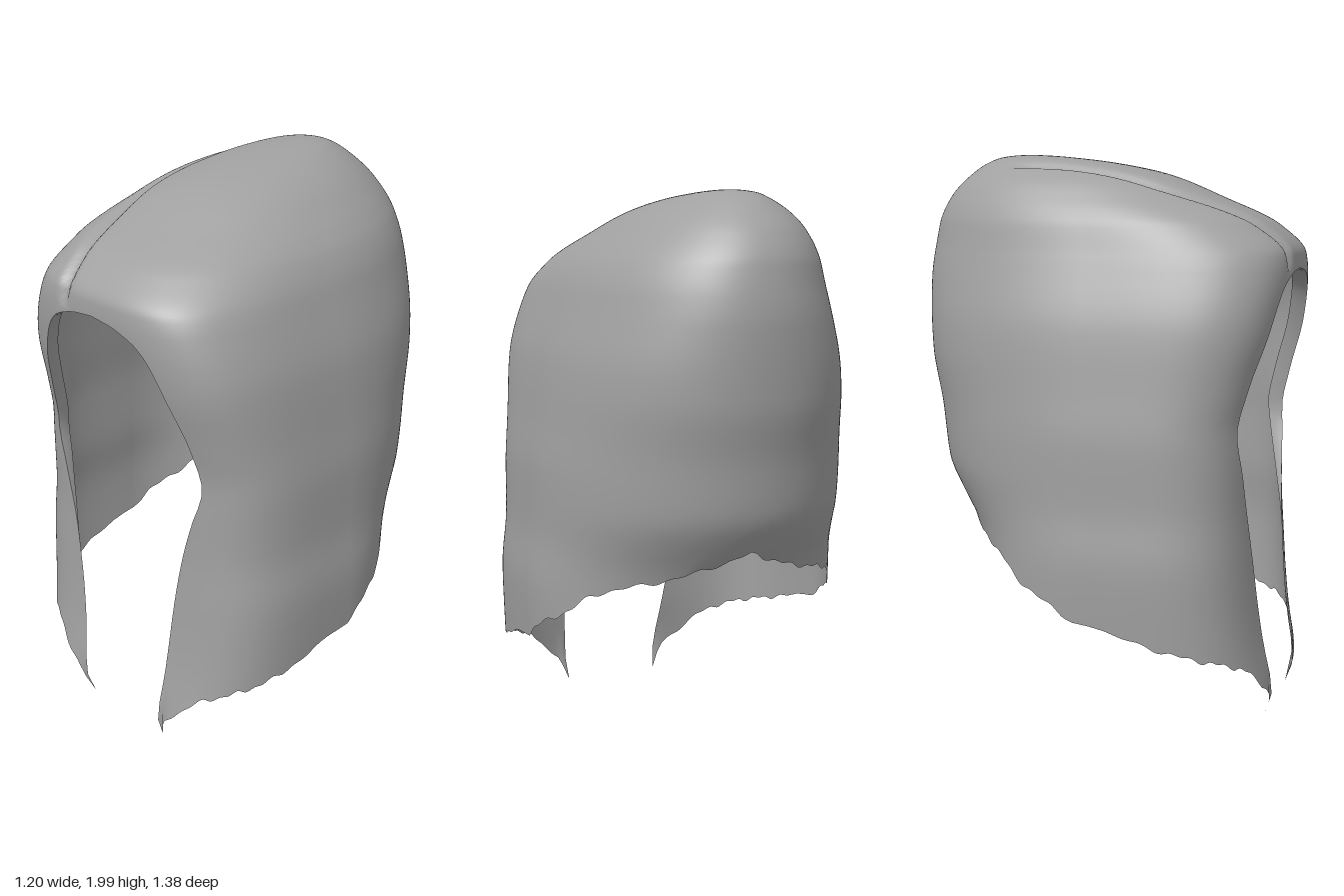
import * as THREE from 'three';
import { mergeVertices } from 'three/addons/utils/BufferGeometryUtils.js';

// Smooth monotone curve through [key, value] pairs
function curve(p) {
  const slope = i => (p[i + 1][1] - p[i][1]) / (p[i + 1][0] - p[i][0]);
  const tangent = i => {
    if (i === 0) return slope(0);
    if (i === p.length - 1) return slope(i - 1);
    const a = slope(i - 1), b = slope(i);
    return a * b <= 0 ? 0 : 2 * a * b / (a + b);
  };
  return k => {
    k = Math.min(Math.max(k, p[0][0]), p[p.length - 1][0]);
    let i = 0;
    while (i < p.length - 2 && k > p[i + 1][0]) i++;
    const d = p[i + 1][0] - p[i][0], t = (k - p[i][0]) / d, t2 = t * t, t3 = t2 * t;
    return (2 * t3 - 3 * t2 + 1) * p[i][1] + (t3 - 2 * t2 + t) * d * tangent(i)
      + (3 * t2 - 2 * t3) * p[i + 1][1] + (t3 - t2) * d * tangent(i + 1);
  };
}

// Horizontal sections by level h: height up to 1.6, then an arc over the crown to TOP
const TOP = 1.6 + 0.2 * Math.PI;
const halfWidth = curve([[0, 0.56], [0.35, 0.59], [0.6, 0.6], [0.8, 0.582], [1, 0.58], [1.2, 0.56],
  [1.4, 0.535], [1.6, 0.478], [1.754, 0.42], [1.809, 0.385], [1.87, 0.338], [1.939, 0.285], [1.99, 0.24],
  [2.078, 0.155], [2.14, 0.095], [TOP, 0]]);
const frontZ = curve([[0, 0.62], [0.1, 0.65], [0.3, 0.62], [0.5, 0.6], [0.8, 0.585], [1.05, 0.585],
  [1.2, 0.615], [1.4, 0.665], [1.6, 0.688], [1.65, 0.685], [1.754, 0.6], [1.87, 0.4], [1.99, 0.2],
  [2.078, 0], [2.14, -0.15], [TOP, -0.32]]);
const backZ = curve([[0, -0.48], [0.6, -0.48], [0.7, -0.51], [0.78, -0.56], [0.9, -0.62], [1.1, -0.645],
  [1.3, -0.68], [1.55, -0.69], [1.754, -0.66], [1.87, -0.61], [1.99, -0.53], [2.078, -0.47], [2.14, -0.42],
  [TOP, -0.32]]);
const middleZ = curve([[0, 0.05], [1.5, 0.05], [1.754, 0], [1.87, -0.08], [1.99, -0.15], [2.078, -0.22],
  [2.14, -0.3], [TOP, -0.32]]);
const frontSquareness = curve([[0, 4], [1.4, 4], [1.6, 3.6], [1.754, 2.8], [1.99, 2.3], [TOP, 2]]);
const backSquareness = curve([[0, 1.9], [1, 2], [1.4, 2.15], [1.7, 2.1], [TOP, 2]]);
// Half width of the face opening by height
const opening = curve([[0, 0.19], [0.2, 0.21], [0.5, 0.245], [0.7, 0.28], [0.9, 0.335], [1.05, 0.38],
  [1.2, 0.36], [1.3, 0.335], [1.4, 0.3], [1.5, 0.25], [1.55, 0.2], [1.58, 0.13], [1.59, 0.09], [1.6, 0]]);
// Hem height by angle from the front
const hemHeight = curve([[0.15, 0.01], [0.19, 0.09], [0.27, 0.14], [0.48, 0.23], [0.8, 0.28], [1.1, 0.31],
  [1.45, 0.36], [1.67, 0.44], [2.04, 0.54], [2.23, 0.61], [2.75, 0.69], [3.1416, 0.77]]);
const partingX = curve([[-0.35, -0.2], [0, -0.23], [0.2, -0.24], [0.45, -0.2], [0.67, -0.15]]);

// Point on the shell; u runs from the front (0) to the back (1)
function shellPoint(h, u, side) {
  const w = halfWidth(h), zm = middleZ(h), p = frontSquareness(h);
  const edge = h < 1.6 ? opening(h) + side * 0.03 * Math.max(0, 1 - h / 0.8) : 0;
  const start = edge > 0 ? Math.asin(Math.pow(edge / w, p / 2)) : 0;
  const a = start + (Math.PI - start) * u;
  const c = Math.cos(a), q = c >= 0 ? p : backSquareness(h);
  const s = u === 1 ? 0 : Math.sin(a);
  const y = h <= 1.6 ? h : 1.6 + 0.4 * Math.sin((h - 1.6) / 0.4);
  const reach = c >= 0 ? frontZ(h) - zm : backZ(h) - zm;
  const v = new THREE.Vector3(side * w * Math.pow(s, 2 / q), y, zm + reach * Math.pow(Math.abs(c), 2 / q));
  // Crown leans slightly to the parted side
  v.x -= 0.035 * THREE.MathUtils.smoothstep(y, 1.65, 1.95);
  // Parting groove along the crown
  const d = (v.x - partingX(v.z)) / 0.02;
  const fade = THREE.MathUtils.smoothstep(v.z, -0.4, -0.2) * THREE.MathUtils.smoothstep(y, 1.57, 1.66);
  return v.lerp(new THREE.Vector3(v.x, 1.2, -0.1), 0.03 * fade * Math.exp(-d * d));
}

// Indexed surface from rows of points
function gridGeometry(rows) {
  const n = rows[0].length, index = [];
  for (let i = 0; i < rows.length - 1; i++) {
    for (let j = 0; j < n - 1; j++) {
      const a = i * n + j, b = a + n;
      index.push(a, b, a + 1, a + 1, b, b + 1);
    }
  }
  let g = new THREE.BufferGeometry().setFromPoints(rows.flat());
  g.setIndex(index);
  g = mergeVertices(g, 1e-5);
  g.computeVertexNormals();
  return g;
}

export function createModel() {
  const group = new THREE.Group();
  const grey = new THREE.MeshStandardMaterial({ color: 0xa0a0a0, side: THREE.DoubleSide });
  grey.name = 'hair grey';

  // Main hair shell: ragged hem up to the opening height, then the closed crown
  const columns = 240, bodyRows = 40, crownRows = 60, rows = [];
  for (let i = 0; i <= bodyRows + crownRows; i++) {
    const row = [];
    for (let j = 0; j <= columns; j++) {
      const t = 2 * j / columns - 1, u = 1 - Math.abs(t), side = t < 0 ? -1 : 1;
      const angle = 0.15 + (Math.PI - 0.15) * u;
      const ragged = u > 0.01 ? 0.01 * Math.sin(j * 0.7) * Math.sin(j * 0.23) : 0;
      const hem = hemHeight(angle) + ragged;
      const f = 1 - Math.pow(1 - Math.min(i / bodyRows, 1), 2);
      const h = i <= bodyRows ? hem + (1.6 - hem) * f : 1.6 + (TOP - 1.6) * (i - bodyRows) / crownRows;
      row.push(shellPoint(h, u, side));
    }
    rows.push(row);
  }
  const shell = new THREE.Mesh(gridGeometry(rows), grey);
  shell.name = 'hairShell';
  group.add(shell);

  // Edge of the face opening rolled inwards
  const rim = [];
  for (let i = 0; i <= bodyRows; i++) rim.push(rows[i][0]);
  for (let i = bodyRows - 1; i >= 0; i--) rim.push(rows[i][columns]);
  const lipRows = [0, 0.5, 1].map(s => rim.map(p => {
    const weight = THREE.MathUtils.smoothstep(p.y, 0.6, 1.1);
    return new THREE.Vector3(p.x * (1 + 0.05 * s * s * weight), p.y + 0.01 * s * s * weight, p.z - 0.06 * s * weight);
  }));
  const lip = new THREE.Mesh(gridGeometry(lipRows), grey);
  lip.name = 'rolledRim';
  group.add(lip);

  return group;
}
